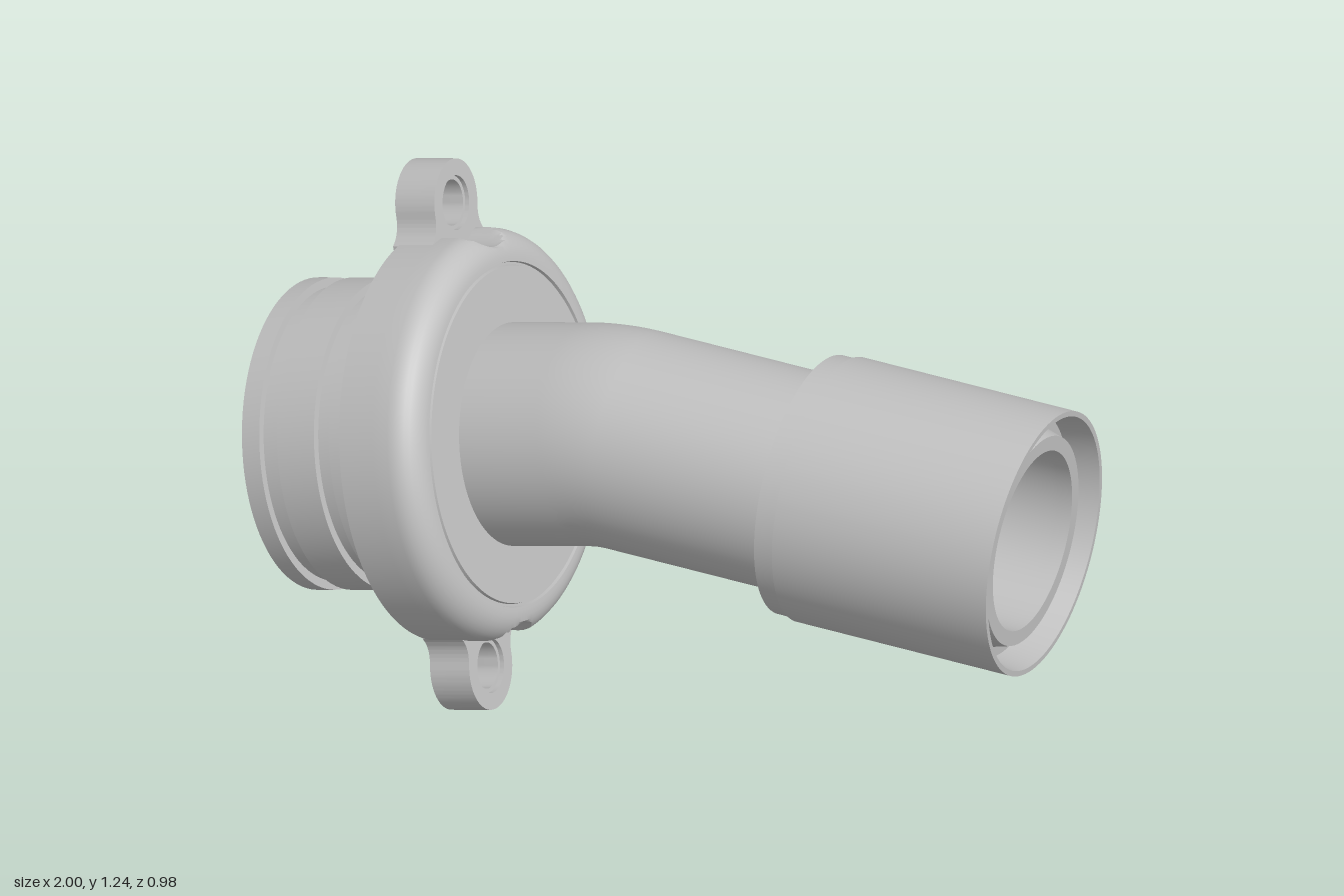
import * as THREE from 'three';
import { toCreasedNormals } from 'three/addons/utils/BufferGeometryUtils.js';

const TILT = Math.PI / 12;
const AXIS_Y = 0.742;
const LUG_ANGLE = -Math.PI / 9, LUG_DIST = 0.555, LUG_R = 0.105;

const greyPlastic = new THREE.MeshStandardMaterial({ color: 0xc0c0c0, side: THREE.DoubleSide });
greyPlastic.name = 'greyPlastic';

function part(name, geometry) {
  const mesh = new THREE.Mesh(geometry, greyPlastic);
  mesh.name = name;
  return mesh;
}

// Turned part along +x from [radius, distance] pairs
function turned(name, profile, segments = 96) {
  const g = new THREE.LatheGeometry(profile.map(([r, s]) => new THREE.Vector2(r, s)), segments);
  g.rotateZ(-Math.PI / 2);
  return part(name, toCreasedNormals(g, 0.5));
}

// Radius at which a ray at this angle meets the round clearance pocket of a lug
function pocketRadius(theta) {
  let limit = Infinity;
  for (const a of [LUG_ANGLE, LUG_ANGLE + Math.PI]) {
    const c = Math.cos(theta - a), s = Math.sin(theta - a);
    const d = LUG_R ** 2 - (LUG_DIST * s) ** 2;
    if (c > 0 && d > 0) limit = LUG_DIST * c - Math.sqrt(d);
  }
  return limit;
}

// Hollow collar with rounded front rim, cut away around the lugs
function flange() {
  const profile = [
    [0.34, 0.46, 0], [0.43, 0.46, 0], [0.43, 0.33, 0], [0.49, 0.33, 0],
    [0.49, 0.42, 0], [0.49, 0.42, 1],
  ];
  for (let i = 0; i <= 8; i++) {
    const a = (i / 8) * Math.PI / 2;
    profile.push([0.42 + 0.07 * Math.cos(a), 0.46 + 0.07 * Math.sin(a), 1]);
  }
  // Fine groove around the front face
  profile.push([0.41, 0.53, 1], [0.408, 0.522, 1], [0.402, 0.522, 1], [0.4, 0.53, 1], [0.24, 0.53, 1]);
  const n = 240, m = profile.length, positions = [], index = [];
  for (let j = 0; j < n; j++) {
    const t = (j / n) * Math.PI * 2, limit = pocketRadius(t);
    for (const [r0, s, cut] of profile) {
      const r = cut ? Math.min(r0, limit) : r0;
      positions.push(s, r * Math.cos(t), r * Math.sin(t));
    }
    for (let i = 0; i < m - 1; i++) {
      const a = j * m + i, b = ((j + 1) % n) * m + i;
      index.push(a, b, a + 1, b, b + 1, a + 1);
    }
  }
  const g = new THREE.BufferGeometry();
  g.setAttribute('position', new THREE.Float32BufferAttribute(positions, 3));
  g.setIndex(index);
  return part('flange', toCreasedNormals(g, 0.5));
}

// Screw lug with filleted sides and a bushed hole
function lug(angle) {
  const group = new THREE.Group();
  group.name = 'screwLug';
  const root = 0.27, ru = 0.488 * Math.cos(root), rt = 0.488 * Math.sin(root);
  const wrap = 1.75;
  const eu = LUG_DIST + LUG_R * Math.cos(wrap), et = LUG_R * Math.sin(wrap);
  const shape = new THREE.Shape();
  shape.moveTo(0.436 * Math.cos(root), -0.436 * Math.sin(root));
  shape.lineTo(ru, -rt);
  shape.quadraticCurveTo(0.495, -0.098, eu, -et);
  shape.absarc(LUG_DIST, 0, LUG_R, -wrap, wrap, false);
  shape.quadraticCurveTo(0.495, 0.098, ru, rt);
  shape.lineTo(0.436 * Math.cos(root), 0.436 * Math.sin(root));
  shape.absarc(0, 0, 0.436, root, -root, true);
  const hole = new THREE.Path();
  hole.absarc(LUG_DIST, 0, 0.065, 0, Math.PI * 2, true);
  shape.holes.push(hole);
  const g = new THREE.ExtrudeGeometry(shape, { depth: 0.106, bevelEnabled: false, curveSegments: 32 });
  g.applyMatrix4(new THREE.Matrix4().makeBasis(
    new THREE.Vector3(0, 1, 0), new THREE.Vector3(0, 0, 1), new THREE.Vector3(1, 0, 0)));
  g.translate(0.315, 0, 0);
  group.add(part('lugPlate', toCreasedNormals(g, 0.5)));

  const bush = turned('lugBush', [[0.055, 0.325], [0.066, 0.325], [0.066, 0.41], [0.055, 0.41], [0.055, 0.325]], 40);
  bush.position.y = LUG_DIST;
  group.add(bush);
  group.rotation.x = angle;
  return group;
}

// Path of the bent pipe
function pipePath() {
  const dir = new THREE.Vector3(Math.cos(TILT), Math.sin(TILT), 0);
  const corner = new THREE.Vector3(-0.13, AXIS_Y, 0);
  const start = corner.clone().addScaledVector(dir, -0.32);
  const bendIn = corner.clone().addScaledVector(dir, -0.06);
  const bendOut = new THREE.Vector3(-0.07, AXIS_Y, 0);
  const path = new THREE.CurvePath();
  path.add(new THREE.LineCurve3(start, bendIn));
  path.add(new THREE.QuadraticBezierCurve3(bendIn, corner, bendOut));
  path.add(new THREE.LineCurve3(bendOut, new THREE.Vector3(0.93, AXIS_Y, 0)));
  return path;
}

export function createModel() {
  const model = new THREE.Group();
  model.name = 'pipeConnector';

  // Tilted end: grooved spigot, flange and lugs
  const head = new THREE.Group();
  head.name = 'flangedEnd';
  head.position.set(-0.9, 0.535, 0);
  head.rotation.z = TILT;
  head.add(turned('spigot', [
    [0.325, 0], [0.37, 0], [0.37, 0.047], [0.349, 0.047], [0.349, 0.095],
    [0.37, 0.095], [0.37, 0.195], [0.349, 0.195], [0.349, 0.235],
    [0.37, 0.235], [0.37, 0.36], [0.349, 0.36], [0.349, 0.47],
  ]));
  head.add(turned('spigotBore', [[0.22, 0.5], [0.325, 0.36], [0.325, 0]]));
  head.add(flange(), lug(LUG_ANGLE), lug(LUG_ANGLE + Math.PI));
  model.add(head);

  // Bent pipe, outside and bore
  const path = pipePath();
  model.add(part('pipe', new THREE.TubeGeometry(path, 120, 0.265, 72)));
  model.add(part('pipeBore', new THREE.TubeGeometry(path, 120, 0.22, 72)));

  // Sleeve with stepped rear lip, and the recessed pipe mouth inside it
  const sleeve = turned('sleeve', [
    [0.26, 0.39], [0.316, 0.39], [0.316, 0.44], [0.323, 0.44], [0.323, 1],
    [0.31, 1], [0.297, 0.92], [0.27, 0.92], [0.256, 0.97], [0.22, 0.97], [0.22, 0.92],
  ]);
  sleeve.position.y = AXIS_Y;
  model.add(sleeve);

  return model;
}
